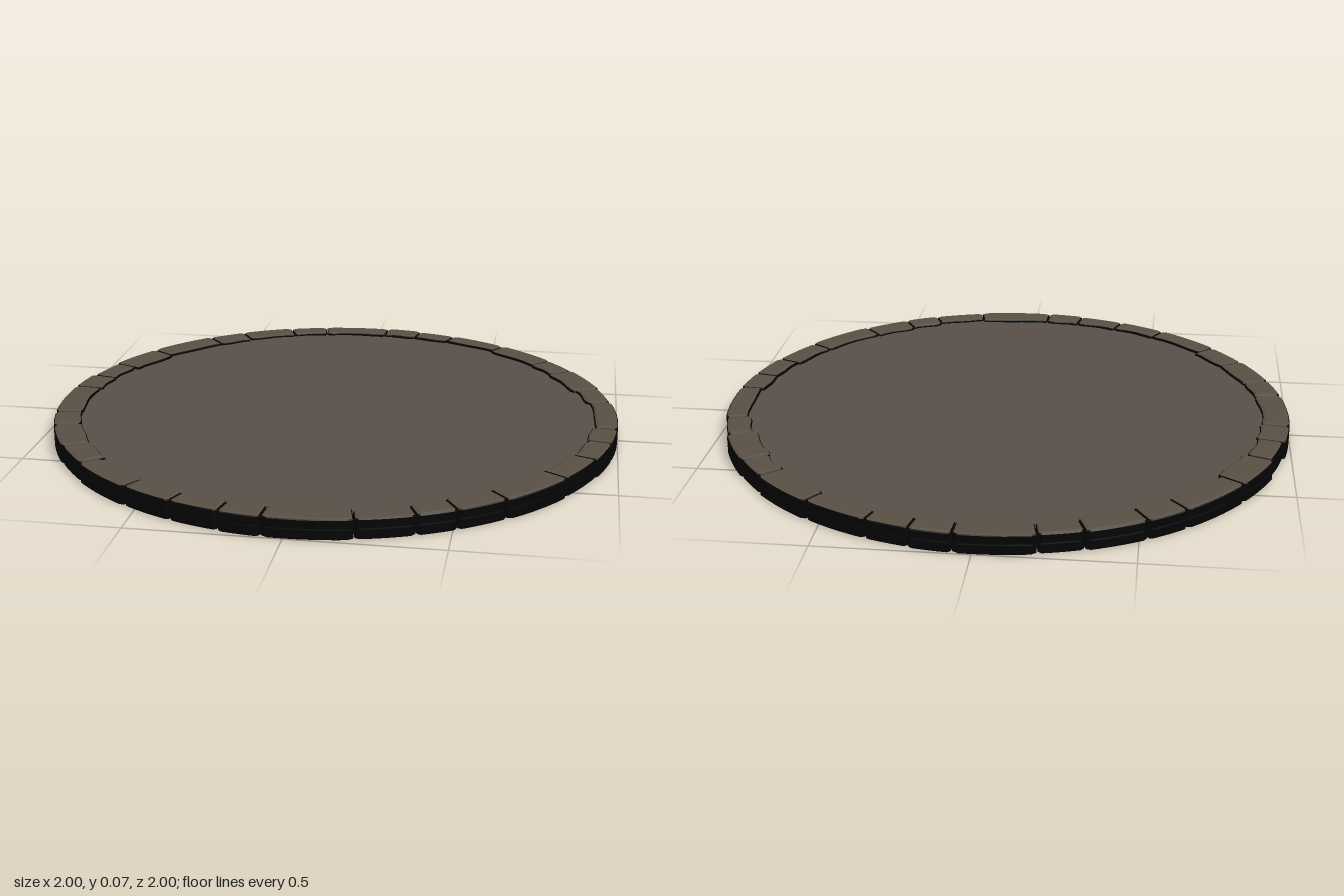
import * as THREE from 'three';

const floorMat = new THREE.MeshStandardMaterial({ color: 0x584f47 });
floorMat.name = 'floor brown';
const stoneMat = new THREE.MeshStandardMaterial({ color: 0x594f44 });
stoneMat.name = 'stone brown';
const darkMat = new THREE.MeshStandardMaterial({ color: 0x040404 });
darkMat.name = 'dark side';

// Rim stones: start angle in degrees (from +x towards +z), inner radius, outer radius
const STONES = [
  [4, .91, 1], [12, .915, 1], [21.5, .905, .995], [33, .905, 1], [48.5, .9, .995],
  [58.8, .91, .995], [66.5, .925, .995], [77.6, .91, 1], [94, .91, 1], [102, .915, .995],
  [112, .92, .995], [123, .92, 1], [138, .9, .995], [148, .9, 1], [160, .905, 1],
  [168, .905, 1], [184.5, .9, 1], [192.5, .905, .99], [201.5, .89, 1], [214, .905, 1],
  [229.6, .905, 1], [238, .915, 1], [250, .92, .995], [258.5, .92, 1], [273.5, .92, 1],
  [281.5, .92, .995], [290, .925, .995], [303.5, .91, 1], [318, .905, .995], [326, .895, 1],
  [339, .91, .995], [347.5, .92, 1],
];

// Rounded arc-shaped outline, shrunk by an inset, counter-clockwise from above
function outline(a0, a1, r0, r1, inset, y, wobble) {
  const mid = (a0 + a1) / 2, half = (a1 - a0) / 2;
  const steps = [-1, -0.88, -0.6, -0.2, 0.2, 0.6, 0.88, 1];
  const at = (t, r) => {
    const a = mid + t * (half - inset / r);
    return new THREE.Vector3(r * Math.cos(a), y, r * Math.sin(a));
  };
  const soft = t => (Math.abs(t) === 1 ? 0.008 : 0);
  const outer = [...steps].reverse().map(t => at(t, r1 - inset - soft(t)));
  const inner = steps.map((t, i) =>
    at(t, r0 + inset + soft(t) * 0.4 + 0.003 * Math.sin(i * 1.3 + wobble)));
  return [...outer, ...inner];
}

// Stone lofted from [inset, y] rings; bands from brownFrom upwards take the stone colour
function makeStone(a0, a1, r0, r1, rings, brownFrom, wobble) {
  const loops = rings.map(([inset, y]) => outline(a0, a1, r0, r1, inset, y, wobble));
  const dark = [], brown = [];
  const n = loops[0].length;
  const centre = loop => loop.reduce((s, p) => s.add(p), new THREE.Vector3()).divideScalar(n);
  const low = loops[0], high = loops[loops.length - 1];
  const lowC = centre(low), highC = centre(high);
  for (let i = 0; i < n; i++) {
    const j = (i + 1) % n;
    dark.push(lowC, low[j], low[i]);
    for (let k = 0; k < loops.length - 1; k++) {
      const a = loops[k], b = loops[k + 1];
      (k >= brownFrom ? brown : dark).push(a[i], a[j], b[j], a[i], b[j], b[i]);
    }
    brown.push(highC, high[i], high[j]);
  }
  const geo = new THREE.BufferGeometry().setFromPoints([...dark, ...brown]);
  geo.addGroup(0, dark.length, 0);
  geo.addGroup(dark.length, brown.length, 1);
  geo.computeVertexNormals();
  return new THREE.Mesh(geo, [darkMat, stoneMat]);
}

export function createModel() {
  const model = new THREE.Group();
  model.name = 'stonePlatform';
  const rad = THREE.MathUtils.degToRad;

  // Thin dark slab under the floor; the underside is hollow within the rim
  const slab = new THREE.Mesh(new THREE.CylinderGeometry(0.95, 0.95, 0.007, 96), darkMat);
  slab.name = 'underSlab';
  slab.position.y = 0.0515;
  model.add(slab);

  // Dark band inside the rim that closes the joints
  const bandMat = darkMat.clone();
  bandMat.side = THREE.DoubleSide;
  const band = new THREE.Mesh(
    new THREE.CylinderGeometry(0.955, 0.955, 0.055, 96, 1, true), bandMat);
  band.name = 'jointBand';
  band.position.y = 0.032;
  model.add(band);

  // Slightly uneven floor, set a little below the rim
  const floorGeo = new THREE.RingGeometry(0.001, 0.935, 96, 16);
  floorGeo.rotateX(-Math.PI / 2);
  const pos = floorGeo.attributes.position;
  for (let i = 0; i < pos.count; i++) {
    const x = pos.getX(i), z = pos.getZ(i);
    pos.setY(i, 0.058 + 0.0012 * Math.sin(5 * x + 2 * z) * Math.cos(6 * z - x));
  }
  floorGeo.computeVertexNormals();
  const floor = new THREE.Mesh(floorGeo, floorMat);
  floor.name = 'floor';
  model.add(floor);

  // Ring of rim stones, each with a shallow groove halfway up its side
  const rim = new THREE.Group();
  rim.name = 'rim';
  const gap = rad(0.1);
  STONES.forEach(([start, r0, r1], i) => {
    const end = i + 1 < STONES.length ? STONES[i + 1][0] : STONES[0][0] + 360;
    const top = 0.07 + 0.001 * Math.sin(i * 2.7);
    const stone = makeStone(rad(start) + gap, rad(end) - gap, r0, r1, [
      [0.004, 0], [0, 0.004], [0, 0.032], [0.006, 0.0345], [0, 0.037],
      [0, 0.064], [0.003, 0.067], [0.01, top],
    ], 6, i);
    stone.name = 'rimStone';
    rim.add(stone);
  });
  model.add(rim);
  return model;
}
